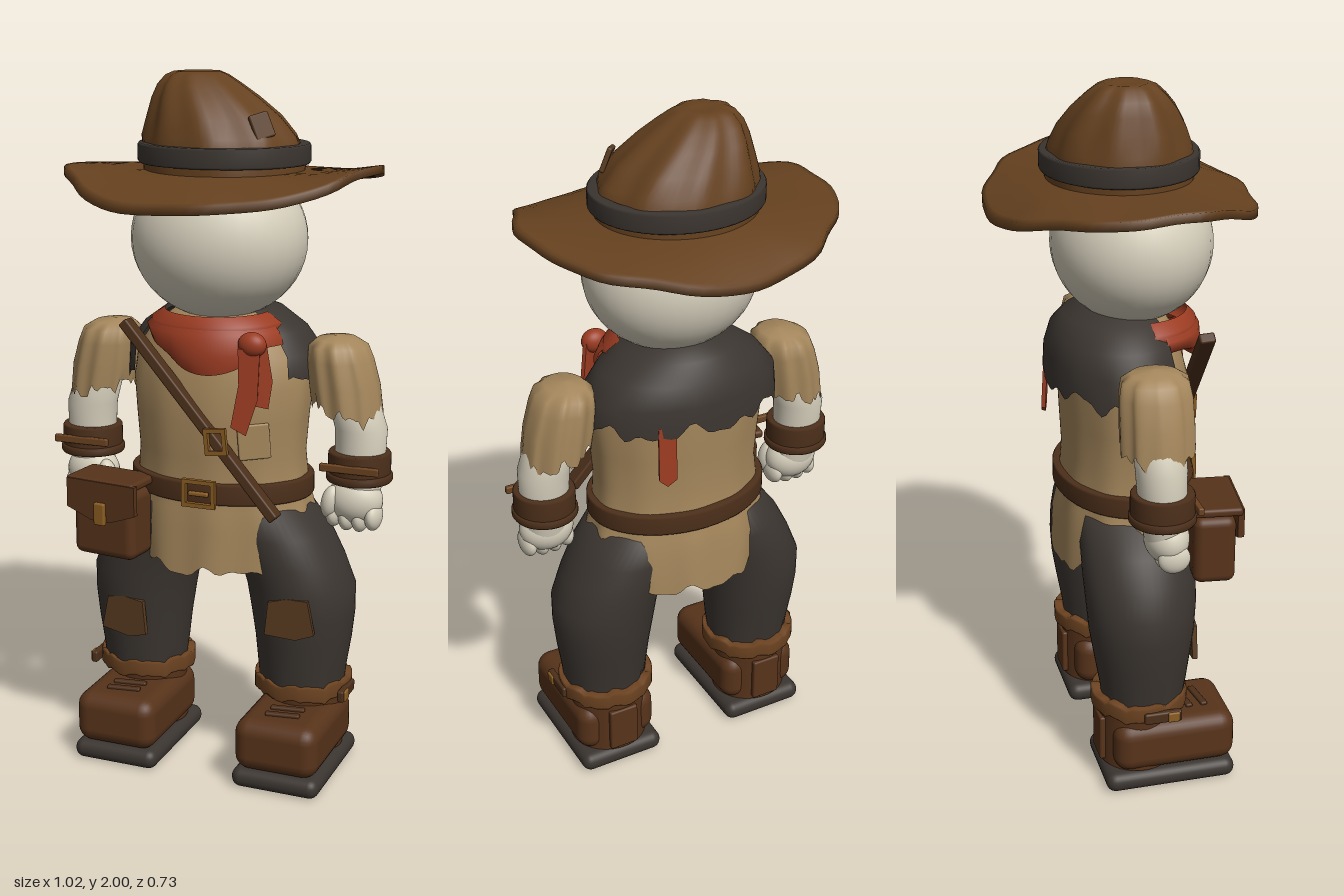
import * as THREE from 'three';
import { RoundedBoxGeometry } from 'three/addons/geometries/RoundedBoxGeometry.js';

const mat = (color) => new THREE.MeshStandardMaterial({ color, roughness: 0.9, side: THREE.DoubleSide });
const M = {
  skin: mat(0xd6cfbc), hat: mat(0x65411f), dark: mat(0x3b3530), tan: mat(0xa5875c), leather: mat(0x57331a),
  strap: mat(0x4c2f1a), cuff: mat(0x6b4220), red: mat(0x9c3c22), brass: mat(0x8a5c22), patch: mat(0x573a20),
};

// Ragged edge rule
const rag = (a) => 0.010 * Math.sin(7 * a) + 0.009 * Math.sin(13 * a + 1) + 0.006 * Math.sin(22 * a);

// Skin over elliptical rings [y, cx, cz, rx, rz]; angle 0 is the front, rising towards +x
function loft(rows, { n = 48, from = 0, to = Math.PI * 2, bend } = {}) {
  const closed = to - from > 6.28, cols = closed ? n : n + 1;
  const pos = [], idx = [], p = new THREE.Vector3();
  rows.forEach(([y, cx, cz, rx, rz], i) => {
    for (let j = 0; j < cols; j++) {
      const a = from + ((to - from) * j) / n;
      p.set(cx + rx * Math.sin(a), y, cz + rz * Math.cos(a));
      if (bend) bend(p, a, i);
      pos.push(p.x, p.y, p.z);
      if (i < rows.length - 1 && j < n) {
        const k = (j + 1) % cols, b = i * cols, c = b + cols;
        idx.push(b + j, b + k, c + k, b + j, c + k, c + j);
      }
    }
  });
  const g = new THREE.BufferGeometry();
  g.setAttribute('position', new THREE.Float32BufferAttribute(pos, 3));
  g.setIndex(idx);
  g.computeVertexNormals();
  return g;
}

// Closed band with thickness around an ellipse
const band = (y0, y1, cx, cz, rx, rz, t = 0.02, bend) => loft([
  [y0, cx, cz, rx - t, rz - t], [y0, cx, cz, rx - 0.004, rz - 0.004], [y0 + 0.006, cx, cz, rx, rz],
  [y1 - 0.006, cx, cz, rx, rz], [y1, cx, cz, rx - 0.004, rz - 0.004], [y1, cx, cz, rx - t, rz - t]], { bend });

const rbox = (w, h, d, r = 0.01) => new RoundedBoxGeometry(w, h, d, 3, r);

// Flat outline with a little thickness
function plate(points, depth, hole) {
  const s = new THREE.Shape(points.map(([x, y]) => new THREE.Vector2(x, y)));
  if (hole) s.holes.push(new THREE.Path(hole.map(([x, y]) => new THREE.Vector2(x, y))));
  return new THREE.ExtrudeGeometry(s, { depth, bevelEnabled: false });
}
const rect = (w, h) => [[-w / 2, -h / 2], [w / 2, -h / 2], [w / 2, h / 2], [-w / 2, h / 2]];
const frame = (w, h, t = 0.012) => plate(rect(w, h), 0.014, rect(w - 2 * t, h - 2 * t));

export function createModel() {
  const root = new THREE.Group();
  const add = (name, geo, m, pos = [0, 0, 0], rot = [0, 0, 0], scale = [1, 1, 1]) => {
    const mesh = new THREE.Mesh(geo, m);
    mesh.name = name;
    mesh.position.set(...pos);
    mesh.rotation.set(...rot);
    mesh.scale.set(...scale);
    root.add(mesh);
    return mesh;
  };
  const ball = new THREE.SphereGeometry(1, 32, 24);

  add('head', ball, M.skin, [0, 1.55, 0.035], [0, 0, 0], [0.25, 0.225, 0.225]);

  // Hat: waved brim, fluted leaning crown, band and patch
  const brimR = [0, 0.35, 0.7, 0.93, 1];
  const brimRow = (f, dy) => [1.725 + dy, 0, 0, 0.215 + 0.235 * f, 0.19 + 0.175 * f];
  const brimRows = [...brimR.map((f) => brimRow(f, -0.012)), ...[...brimR].reverse().map((f) => brimRow(f, 0.012))];
  add('hatBrim', loft(brimRows, {
    n: 72,
    bend: (p, a, i) => {
      const f = brimR[i < 5 ? i : 9 - i], s = Math.sin(a);
      const edge = -0.068 + 0.082 * s * s + 0.01 * s + 0.007 * Math.sin(5 * a + 1);
      p.y += edge * f ** 1.5;
      const w = 1 + f * (0.012 * Math.sin(9 * a) + 0.008 * Math.sin(14 * a));
      p.x *= w; p.z *= w;
    },
  }), M.hat);
  add('hatCrown', loft([
    [1.705, 0, 0, 0.225, 0.2], [1.78, 0, 0, 0.23, 0.203], [1.83, -0.01, 0, 0.213, 0.19],
    [1.88, -0.025, 0, 0.185, 0.17], [1.93, -0.05, 0, 0.147, 0.14], [1.965, -0.068, 0, 0.115, 0.11],
    [1.99, -0.077, 0, 0.085, 0.083], [2.0, -0.077, 0, 0.062, 0.06], [1.997, -0.077, 0, 0.03, 0.03], [1.996, -0.077, 0, 0, 0]], {
    n: 72,
    bend: (p, a, i) => {
      if (i < 2 || i > 7) return;
      const w = 0.035 * Math.sin(9 * a) + 0.02 * Math.sin(5 * a + 2);
      p.x += (p.x + 0.05) * w; p.z += p.z * w;
    },
  }), M.hat);
  add('hatBand', band(1.755, 1.81, 0, 0, 0.243, 0.217, 0.03), M.dark);
  add('hatPatch', rbox(0.06, 0.07, 0.014, 0.005), M.patch, [0.15, 1.865, 0.105], [-0.5, 0.8, 0.6]);

  // Tunic with ragged hem, higher at the sides
  add('tunic', loft([
    [0.62, 0, 0.005, 0.27, 0.2], [0.74, 0, 0.005, 0.283, 0.195], [0.8, 0, 0.01, 0.268, 0.188], [0.86, 0, 0.01, 0.255, 0.18],
    [0.95, 0, 0.015, 0.247, 0.178], [1.05, 0, 0.015, 0.255, 0.183], [1.15, 0, 0.01, 0.265, 0.182],
    [1.23, 0, 0, 0.255, 0.172], [1.3, 0, 0, 0.205, 0.15], [1.35, 0, 0, 0.13, 0.12], [1.38, 0, 0, 0, 0]], {
    n: 96,
    bend: (p, a, i) => {
      if (i < 2) p.y += (i ? 0.2 : 1) * (0.1 * Math.sin(a) ** 4 + rag(a));
      const w = 1 + 0.012 * Math.sin(11 * a) * (i < 3 ? 1.5 : i < 7 ? 0.6 : 0);
      p.x *= w; p.z *= w;
    },
  }), M.tan);
  add('shoulderCape', loft([
    [1.165, 0, -0.015, 0.292, 0.197], [1.24, 0, -0.015, 0.286, 0.194], [1.3, 0, -0.015, 0.24, 0.18],
    [1.35, 0, -0.01, 0.17, 0.15], [1.375, 0, 0, 0.1, 0.1]], {
    n: 72, from: 0.92, to: Math.PI * 2 - 0.92,
    bend: (p, a, i) => { if (i === 0) p.y += 1.3 * rag(a); },
  }), M.dark);

  // Belt and buckle
  add('belt', band(0.825, 0.885, 0, 0.01, 0.272, 0.2, 0.03), M.strap);
  add('beltBuckle', frame(0.1, 0.08), M.brass, [0.01, 0.858, 0.208]);
  add('beltBucklePin', rbox(0.06, 0.012, 0.014, 0.004), M.brass, [0.01, 0.858, 0.218]);

  // Chest strap with buckle, pocket patch
  add('chestStrap', rbox(0.03, 0.69, 0.045, 0.006), M.strap, [0.01, 1.07, 0.205], [-0.05, 0, 0.73]);
  add('chestBuckle', frame(0.065, 0.075), M.brass, [0.07, 1.02, 0.23], [0, 0, 0.1]);
  add('chestPatch', rbox(0.09, 0.1, 0.012, 0.005), M.tan, [0.155, 1.01, 0.165], [0, 0.45, 0.08]);

  // Neckerchief: folded roll, draped front, hanging tails
  add('neckerchiefRoll', loft([
    [1.29, 0, 0.04, 0.17, 0.155], [1.3, 0, 0.04, 0.195, 0.175], [1.33, 0, 0.04, 0.19, 0.175], [1.355, 0, 0.04, 0.15, 0.15]],
  { from: -1.5, to: 1.5 }), M.red);
  add('neckerchiefDrape', loft([
    [1.2, 0.03, 0.03, 0.18, 0.195], [1.25, 0.015, 0.035, 0.205, 0.2], [1.31, 0, 0.035, 0.205, 0.19], [1.35, 0, 0.03, 0.16, 0.165]], {
    from: -1.3, to: 1.3,
    bend: (p, a, i) => { if (i < 2) p.y += (i ? 0.025 : 0.075) * Math.min(1, a * a); },
  }), M.red);
  const tail = plate([[-0.03, 0], [0.03, 0], [0.035, -0.14], [0.012, -0.24], [-0.032, -0.22], [-0.02, -0.1]], 0.012);
  add('neckerchiefTail', tail, M.red, [0.155, 1.28, 0.205], [0, 0.3, -0.08]);
  add('neckerchiefTail', tail, M.red, [0.17, 1.29, 0.19], [0, 0.5, 0.12], [0.9, 0.75, 1]);
  add('neckerchiefKnot', ball, M.red, [0.16, 1.29, 0.195], [0, 0, 0], [0.04, 0.035, 0.03]);
  add('backRibbon', plate([[-0.025, 0.1], [0.025, 0.1], [0.028, -0.06], [0.005, -0.08], [-0.022, -0.06]], 0.012),
    M.red, [0.13, 1.09, -0.195], [0.06, -0.3, 0]);

  // Belt pouch
  add('pouch', rbox(0.2, 0.2, 0.12, 0.025), M.leather, [-0.265, 0.745, 0.195], [0, -0.12, 0]);
  add('pouchFlap', plate([[-0.112, 0.05], [0.112, 0.05], [0.112, -0.035], [0.03, -0.065], [-0.03, -0.065], [-0.112, -0.035]], 0.018),
    M.leather, [-0.265, 0.825, 0.256], [0, -0.12, 0]);
  add('pouchLid', rbox(0.222, 0.025, 0.14, 0.01), M.leather, [-0.265, 0.868, 0.2], [0, -0.12, 0]);
  add('pouchClasp', rbox(0.035, 0.065, 0.016, 0.005), M.brass, [-0.265, 0.785, 0.282], [0, -0.12, 0]);

  for (const s of [1, -1]) {
    const side = s > 0 ? 'left' : 'right';
    const mirror = (rows) => rows.map(([y, cx, ...r]) => [y, s * cx, ...r]);

    // Arm: sleeve, forearm, cuff, hand
    add(side + 'Sleeve', loft(mirror([
      [1.09, 0.375, 0.01, 0.098, 0.1], [1.16, 0.365, 0.01, 0.097, 0.1], [1.23, 0.352, 0.01, 0.09, 0.098],
      [1.27, 0.345, 0.01, 0.08, 0.09], [1.288, 0.34, 0.01, 0.055, 0.065], [1.295, 0.335, 0.01, 0, 0]]), {
      n: 72,
      bend: (p, a, i) => {
        if (i === 0) p.y += rag(a) - s * 0.025 * Math.sin(a);
        if (i < 4) p.z += 0.005 * Math.sin(9 * a);
      },
    }), M.tan);
    add(side + 'Forearm', loft(mirror([
      [0.82, 0.41, 0.02, 0.06, 0.05], [0.92, 0.415, 0.015, 0.07, 0.065], [1.04, 0.415, 0.01, 0.074, 0.07],
      [1.14, 0.385, 0.01, 0.07, 0.07], [1.2, 0.36, 0.01, 0, 0]])), M.skin);
    add(side + 'Cuff', band(0.895, 0.975, s * 0.414, 0.015, 0.088, 0.088, 0.03), M.strap);
    add(side + 'CuffTrim', band(0.89, 0.915, s * 0.414, 0.015, 0.094, 0.093, 0.03), M.strap);
    add(side + 'CuffStrap', rbox(0.17, 0.022, 0.016, 0.004), M.cuff, [s * 0.41, 0.94, 0.1]);
    add(side + 'Palm', ball, M.skin, [s * 0.407, 0.835, 0.028], [0, 0, 0], [0.08, 0.07, 0.062]);
    for (let i = 0; i < 4; i++)
      add(side + 'Finger', ball, M.skin, [s * (0.35 + 0.038 * i), 0.795 - (i % 3 ? 0.008 : 0), 0.035], [0, 0, 0], [0.024, 0.042, 0.045]);
    add(side + 'Thumb', ball, M.skin, [s * 0.345, 0.83, 0.06], [0, 0, s * -0.2], [0.026, 0.048, 0.03]);

    // Leg with ragged cuff and knee patch
    add(side + 'Leg', loft(mirror([
      [0.26, 0.25, 0.005, 0.122, 0.12], [0.32, 0.25, 0.005, 0.13, 0.128], [0.4, 0.252, 0.003, 0.14, 0.14],
      [0.48, 0.25, 0.002, 0.15, 0.152], [0.56, 0.243, 0.002, 0.157, 0.158], [0.64, 0.215, 0.003, 0.152, 0.162],
      [0.72, 0.178, 0.005, 0.148, 0.162], [0.8, 0.14, 0.01, 0.125, 0.15], [0.84, 0.13, 0.01, 0, 0]]), {
      bend: (p, a, i) => { if (i === 0) p.y += rag(a); },
    }), M.dark);
    const ky = s > 0 ? 0.5 : 0.435;
    add(side + 'KneePatch', plate([[-0.07, -0.05], [0.02, -0.062], [0.075, -0.045], [0.06, 0.055], [0, 0.06], [-0.055, 0.048]], 0.015),
      M.patch, [s * 0.255, ky, s > 0 ? 0.146 : 0.14], [0, s * 0.08, s * 0.05]);

    // Boot: sole, foot, shaft, heel tab, strap and buckle
    add(side + 'Sole', rbox(0.262, 0.058, 0.385, 0.028), M.dark, [s * 0.25, 0.029, 0.065]);
    add(side + 'BootFoot', rbox(0.25, 0.155, 0.36, 0.045), M.leather, [s * 0.25, 0.133, 0.08]);
    add(side + 'BootShaft', loft(mirror([
      [0.06, 0.25, -0.015, 0.115, 0.11], [0.2, 0.25, -0.015, 0.113, 0.11], [0.27, 0.25, -0.01, 0.118, 0.115]])), M.leather);
    add(side + 'HeelTab', rbox(0.09, 0.14, 0.02, 0.006), M.leather, [s * 0.25, 0.14, -0.122]);
    add(side + 'BootStrap', band(0.235, 0.282, s * 0.25, -0.005, 0.143, 0.14, 0.03,
      (p, a) => { p.y += 0.4 * rag(a); }), M.cuff);
    add(side + 'BootStrapTip', rbox(0.02, 0.034, 0.11, 0.006), M.strap, [s * 0.392, 0.253, 0.03]);
    add(side + 'BootBuckle', rbox(0.014, 0.03, 0.035, 0.004), M.brass, [s * 0.4, 0.253, 0.06]);
    for (let i = 0; i < 2; i++)
      add(side + 'BootLace', rbox(0.1, 0.014, 0.02, 0.005), M.strap, [s * 0.25, 0.212, 0.13 + 0.045 * i], [0, 0.15, 0]);
  }
  return root;
}
